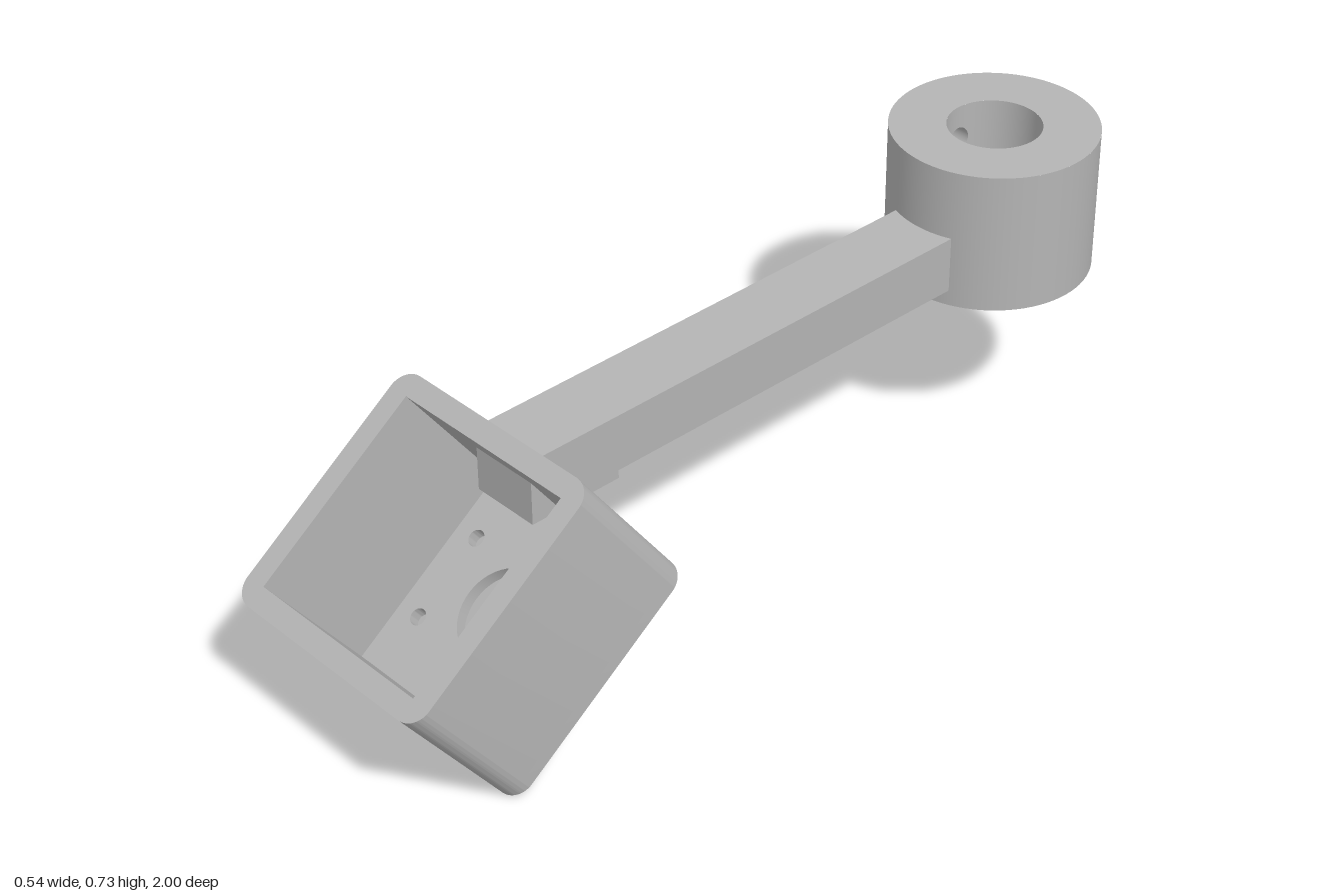
import * as THREE from 'three';
import { toCreasedNormals } from 'three/addons/utils/BufferGeometryUtils.js';
import { ParametricGeometry } from 'three/addons/geometries/ParametricGeometry.js';

export function createModel() {
  const model = new THREE.Group();
  model.name = 'bracket';
  const grey = new THREE.MeshStandardMaterial({ color: 0xb4b4b4 });
  grey.name = 'grey';

  const add = (parent, name, geometry) => {
    const mesh = new THREE.Mesh(geometry, grey);
    mesh.name = name;
    parent.add(mesh);
    return mesh;
  };
  const extrude = (shape, depth) => toCreasedNormals(
    new THREE.ExtrudeGeometry(shape, { depth, bevelEnabled: false, curveSegments: 24 }), 0.5);
  const circle = (x, y, r) => new THREE.Path().absarc(x, y, r, 0, Math.PI * 2, true);

  // Tilted open housing, built along its own depth axis (local z)
  const SIZE = 0.535, DEPTH = 0.382, FLOOR = 0.03, CAVITY = 0.221, CORNER = 0.045;
  const roundedSquare = () => {
    const s = new THREE.Shape(), c = SIZE / 2 - CORNER;
    s.absarc(c, c, CORNER, 0, Math.PI / 2);
    s.absarc(-c, c, CORNER, Math.PI / 2, Math.PI);
    s.absarc(-c, -c, CORNER, Math.PI, Math.PI * 1.5);
    s.absarc(c, -c, CORNER, Math.PI * 1.5, Math.PI * 2);
    s.closePath();
    return s;
  };
  const housing = new THREE.Group();
  housing.name = 'housing';
  housing.position.set(0, 0.157, 0.5585);
  housing.rotation.x = -54 * Math.PI / 180;
  model.add(housing);

  // Floor with a large central opening and four screw holes
  const floor = roundedSquare();
  floor.holes.push(circle(0, 0, 0.1));
  for (const x of [-0.166, 0.166]) {
    for (const y of [-0.095, 0.095]) floor.holes.push(circle(x, y, 0.018));
  }
  add(housing, 'housingFloor', extrude(floor, FLOOR));

  // Walls around a square cavity
  const walls = roundedSquare();
  walls.holes.push(new THREE.Path([
    [-CAVITY, -CAVITY], [-CAVITY, CAVITY], [CAVITY, CAVITY], [CAVITY, -CAVITY], [-CAVITY, -CAVITY],
  ].map(([x, y]) => new THREE.Vector2(x, y))));
  add(housing, 'housingWalls', extrude(walls, DEPTH - FLOOR)).position.z = FLOOR;

  // Arm with a small step under its front end, drawn as a (z, y) side profile
  const ARM = 0.078;
  const profile = new THREE.Shape([
    [-0.6, 0.45], [0.34, 0.45], [0.34, 0.432], [0.555, 0.432], [0.555, 0.575], [-0.6, 0.575],
  ].map(([z, y]) => new THREE.Vector2(z, y)));
  const armGeometry = extrude(profile, ARM * 2);
  armGeometry.rotateY(-Math.PI / 2);
  armGeometry.translate(ARM, 0, 0);
  add(model, 'arm', armGeometry);

  // Hub: a bored cylinder with two set-screw holes on its right side
  const R = 0.22, BORE = 0.1, BOTTOM = 0.415, TOP = 0.73, HALF = 0.06, SCREW = 0.028;
  const hub = new THREE.Group();
  hub.name = 'hub';
  hub.position.z = -0.78;
  model.add(hub);

  // Plain curved surfaces, leaving a strip of half-width HALF on the right
  const shell = (radius, y0, y1) => {
    const a = Math.asin(HALF / radius);
    return new THREE.LatheGeometry(
      [new THREE.Vector2(radius, y0), new THREE.Vector2(radius, y1)],
      72, -Math.PI / 2 + a, Math.PI * 2 - 2 * a);
  };
  add(hub, 'hubOuterWall', shell(R, BOTTOM, TOP));
  add(hub, 'hubBore', shell(BORE, TOP, BOTTOM));

  // Flat ends
  for (const [name, y, turn] of [['hubTop', TOP, -1], ['hubBottom', BOTTOM, 1]]) {
    const ring = add(hub, name, new THREE.RingGeometry(BORE, R, 96));
    ring.rotation.x = turn * Math.PI / 2;
    ring.position.y = y;
  }

  // Curved strip pieces, each with one round screw hole
  const halfHeight = (TOP - BOTTOM) / 4;
  const surfaceX = (radius, z) => -Math.sqrt(radius * radius - z * z);
  const patch = (radius, y, turn) => new ParametricGeometry((u, v, target) => {
    const c = Math.cos(u * Math.PI * 2), s = turn * Math.sin(u * Math.PI * 2);
    const m = Math.max(Math.abs(c), Math.abs(s));
    const z = THREE.MathUtils.lerp(SCREW * c, HALF * c / m, v);
    const dy = THREE.MathUtils.lerp(SCREW * s, halfHeight * s / m, v);
    target.set(surfaceX(radius, z), y + dy, z);
  }, 48, 8);
  const screwTube = (y) => new ParametricGeometry((u, v, target) => {
    const z = SCREW * Math.cos(u * Math.PI * 2);
    const x = THREE.MathUtils.lerp(surfaceX(R, z), surfaceX(BORE, z), v);
    target.set(x, y + SCREW * Math.sin(u * Math.PI * 2), z);
  }, 48, 2);
  for (const y of [BOTTOM + halfHeight, TOP - halfHeight]) {
    add(hub, 'hubOuterScrewPanel', patch(R, y, -1));
    add(hub, 'hubBoreScrewPanel', patch(BORE, y, 1));
    add(hub, 'screwHole', screwTube(y));
  }

  return model;
}
